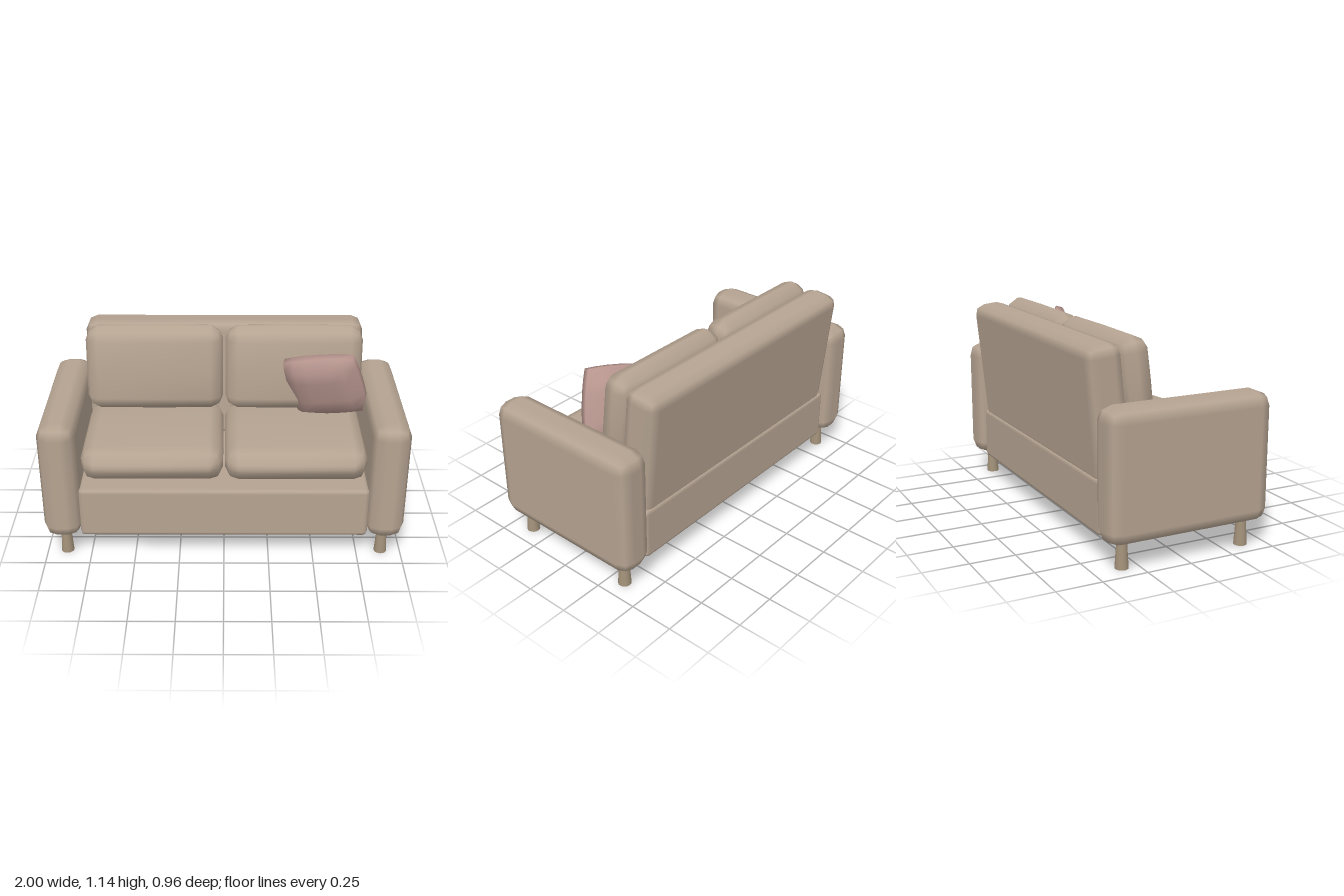
import * as THREE from 'three';
import { mergeVertices } from 'three/addons/utils/BufferGeometryUtils.js';
import { RoundedBoxGeometry } from 'three/addons/geometries/RoundedBoxGeometry.js';

const fabric = new THREE.MeshStandardMaterial({ color: 0xb5a391 });
const pink = new THREE.MeshStandardMaterial({ color: 0xb8968f });
const wood = new THREE.MeshStandardMaterial({ color: 0xa3927a });

// Moves every vertex of a box by a rule, then welds it for smooth shading
function reshape(geometry, rule) {
  const pos = geometry.attributes.position;
  const p = new THREE.Vector3();
  for (let i = 0; i < pos.count; i++) {
    rule(p.fromBufferAttribute(pos, i));
    pos.setXYZ(i, p.x, p.y, p.z);
  }
  geometry.deleteAttribute('uv');
  geometry.deleteAttribute('normal');
  const welded = mergeVertices(geometry, 1e-4);
  welded.computeVertexNormals();
  return welded;
}

// Cushion: rounded box whose faces swell towards their middles
function cushionGeometry(w, h, d, r, bulge) {
  const half = new THREE.Vector3(w / 2, h / 2, d / 2);
  const axes = ['x', 'y', 'z'];
  return reshape(new THREE.BoxGeometry(2, 2, 2, 4, 4, 4), (p) => {
    const unit = p.clone();
    const core = new THREE.Vector3();
    for (const a of axes) {
      const inner = half[a] - r;
      core[a] = Math.abs(p[a]) > 0.25 ? Math.sign(p[a]) * inner : 0;
      p[a] = Math.abs(p[a]) > 0.75 ? Math.sign(p[a]) * r : 0;
    }
    p.setLength(r).add(core);
    axes.forEach((a, i) => {
      const b = axes[(i + 1) % 3], c = axes[(i + 2) % 3];
      if (Math.abs(unit[a]) > 0.75) {
        p[a] += Math.sign(unit[a]) * bulge[a] * (1 - unit[b] ** 2) * (1 - unit[c] ** 2);
      }
    });
  });
}

// Throw pillow: thick in the middle, thin at the seam, softened corners
function pillowGeometry(w, h, thickness) {
  return reshape(new THREE.BoxGeometry(2, 2, 2, 6, 6, 1), (p) => {
    const { x: u, y: v } = p;
    const swell = Math.sqrt((1 - u ** 4) * (1 - v ** 4));
    const corner = 1 - 0.07 * u * u * v * v;
    p.set(u * corner * w / 2, v * corner * h / 2,
      Math.sign(p.z) * (0.022 + (thickness / 2 - 0.022) * swell));
  });
}

export function createModel() {
  const sofa = new THREE.Group();
  sofa.name = 'sofa';
  const add = (name, geometry, material, x, y, z, tilt = 0) => {
    const mesh = new THREE.Mesh(geometry, material);
    mesh.name = name;
    mesh.position.set(x, y, z);
    mesh.rotation.x = tilt;
    sofa.add(mesh);
    return mesh;
  };

  // Frame
  add('base', new RoundedBoxGeometry(1.6, 0.3, 0.86, 1, 0.025), fabric, 0, 0.29, 0.01);
  add('backrest', new RoundedBoxGeometry(1.6, 0.72, 0.2, 1, 0.06), fabric, 0, 0.755, -0.347, -0.1);

  const arm = new RoundedBoxGeometry(0.21, 0.7, 0.935, 1, 0.075);
  const leg = new THREE.CylinderGeometry(0.026, 0.036, 0.16, 16);
  const seat = cushionGeometry(0.785, 0.2, 0.64, 0.075, new THREE.Vector3(0, 0, 0.02));
  const back = cushionGeometry(0.78, 0.475, 0.165, 0.07, new THREE.Vector3(0, 0.014, 0.012));

  for (const [side, s] of [['left', 1], ['right', -1]]) {
    add(side + 'Arm', arm, fabric, s * 0.895, 0.49, 0.0125);
    add(side + 'SeatCushion', seat, fabric, s * 0.397, 0.54, 0.05);
    add(side + 'BackCushion', back, fabric, s * 0.397, 0.893, -0.177, -0.12);
    add(side + 'FrontLeg', leg, wood, s * 0.89, 0.08, 0.37);
    add(side + 'RearLeg', leg, wood, s * 0.89, 0.08, -0.34);
  }

  // Pillow leaning into the corner, set by its width and height directions
  const u = new THREE.Vector3(0.38, 0.09, 0.13).normalize();
  const n = u.clone().cross(new THREE.Vector3(-0.09, 0.36, 0.09)).normalize();
  const v = n.clone().cross(u);
  const pillow = add('throwPillow', pillowGeometry(0.43, 0.41, 0.15), pink, 0.575, 0.845, -0.045);
  pillow.quaternion.setFromRotationMatrix(new THREE.Matrix4().makeBasis(u, v, n));

  return sofa;
}
